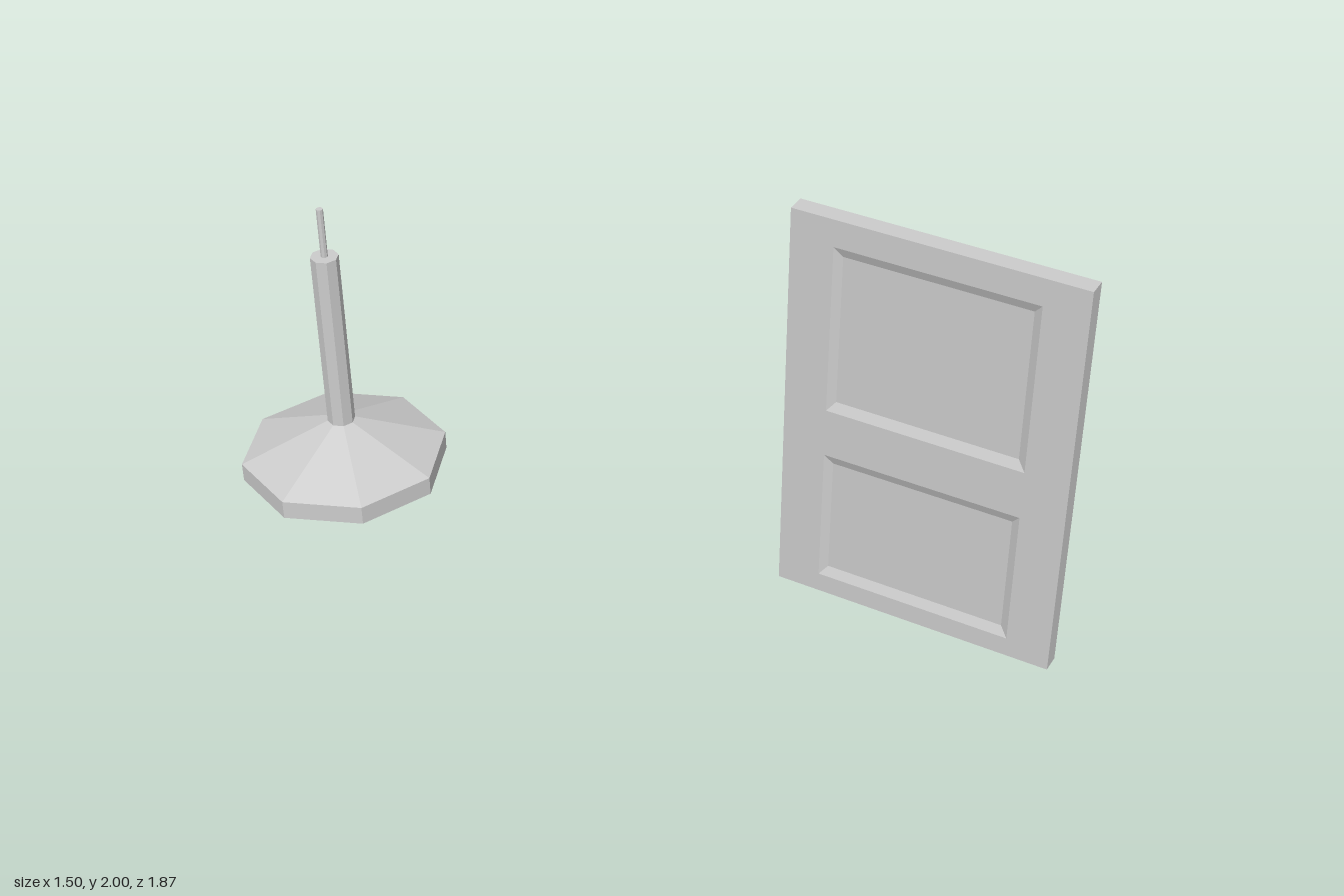
import * as THREE from 'three';

const grey = new THREE.MeshStandardMaterial({ color: 0xcccccc, flatShading: true });
const greyOpen = grey.clone();
greyOpen.side = THREE.DoubleSide;

function addMesh(parent, name, geometry, material = grey) {
  const mesh = new THREE.Mesh(geometry, material);
  mesh.name = name;
  parent.add(mesh);
  return mesh;
}

// Eight-sided turned part from [radius, height] pairs, bottom to top
const turned = (profile) =>
  new THREE.LatheGeometry(profile.map(([r, y]) => new THREE.Vector2(r, y)), 8);

const corners = (w, h) => [[-w / 2, -h / 2], [w / 2, -h / 2], [w / 2, h / 2], [-w / 2, h / 2]];

// Four walls joining two rectangles [width, height, z], with an optional cap on the second
function rectLoft(from, to, cap) {
  const positions = [...corners(from[0], from[1]).map((p) => [...p, from[2]]),
    ...corners(to[0], to[1]).map((p) => [...p, to[2]])].flat();
  const index = [];
  for (let i = 0; i < 4; i++) {
    const j = (i + 1) % 4;
    index.push(i, j, j + 4, i, j + 4, i + 4);
  }
  if (cap) index.push(4, 5, 6, 4, 6, 7);
  const indexed = new THREE.BufferGeometry();
  indexed.setAttribute('position', new THREE.Float32BufferAttribute(positions, 3));
  indexed.setIndex(index);
  const geometry = indexed.toNonIndexed();
  geometry.computeVertexNormals();
  return geometry;
}

function createLamp() {
  const lamp = new THREE.Group();
  lamp.name = 'pendantLamp';
  addMesh(lamp, 'shade', turned([[0.24, 1.31], [0.24, 1.355], [0.032, 1.44]]), greyOpen);
  addMesh(lamp, 'stem', turned([[0, 1.438], [0.032, 1.438], [0.032, 1.88], [0, 1.88]]));
  addMesh(lamp, 'cord', turned([[0.008, 1.88], [0.008, 2], [0, 2]]));
  addMesh(lamp, 'bulb', turned([[0, 1.245], [0.03, 1.245], [0.042, 1.262], [0.048, 1.305],
    [0.044, 1.34], [0.022, 1.39], [0.022, 1.438]]));
  lamp.position.set(-0.51, 0, 0.695);
  return lamp;
}

function createDoor() {
  const W = 0.89, H = 1.312, T = 0.058;
  const panelWidth = 0.62, bevelX = 0.025, bevelY = 0.031, depth = 0.013;
  const panels = [
    { name: 'upperPanel', bottom: 0.673, top: 1.225 },
    { name: 'lowerPanel', bottom: 0.064, top: 0.514 },
  ];
  const door = new THREE.Group();
  door.name = 'door';
  const edge = addMesh(door, 'doorEdge', rectLoft([W, H, -T / 2], [W, H, T / 2], false));
  edge.position.y = H / 2;

  // Identical front and back faces, each with two bevelled recesses
  for (const side of ['front', 'back']) {
    const face = new THREE.Group();
    face.name = side + 'Face';
    const outline = new THREE.Shape(corners(W, H).map(([x, y]) => new THREE.Vector2(x, y + H / 2)));
    for (const { name, bottom, top } of panels) {
      const h = top - bottom, mid = (top + bottom) / 2;
      outline.holes.push(new THREE.Path(
        corners(panelWidth, h).map(([x, y]) => new THREE.Vector2(x, y + mid))));
      const panel = addMesh(face, name, rectLoft([panelWidth, h, T / 2],
        [panelWidth - 2 * bevelX, h - 2 * bevelY, T / 2 - depth], true));
      panel.position.y = mid;
    }
    const frame = addMesh(face, 'frame', new THREE.ShapeGeometry(outline));
    frame.position.z = T / 2;
    if (side === 'back') face.rotation.y = Math.PI;
    door.add(face);
  }
  door.position.set(0.305, 0, -0.906);
  return door;
}

export function createModel() {
  const model = new THREE.Group();
  model.name = 'doorAndLamp';
  model.add(createLamp(), createDoor());
  return model;
}
